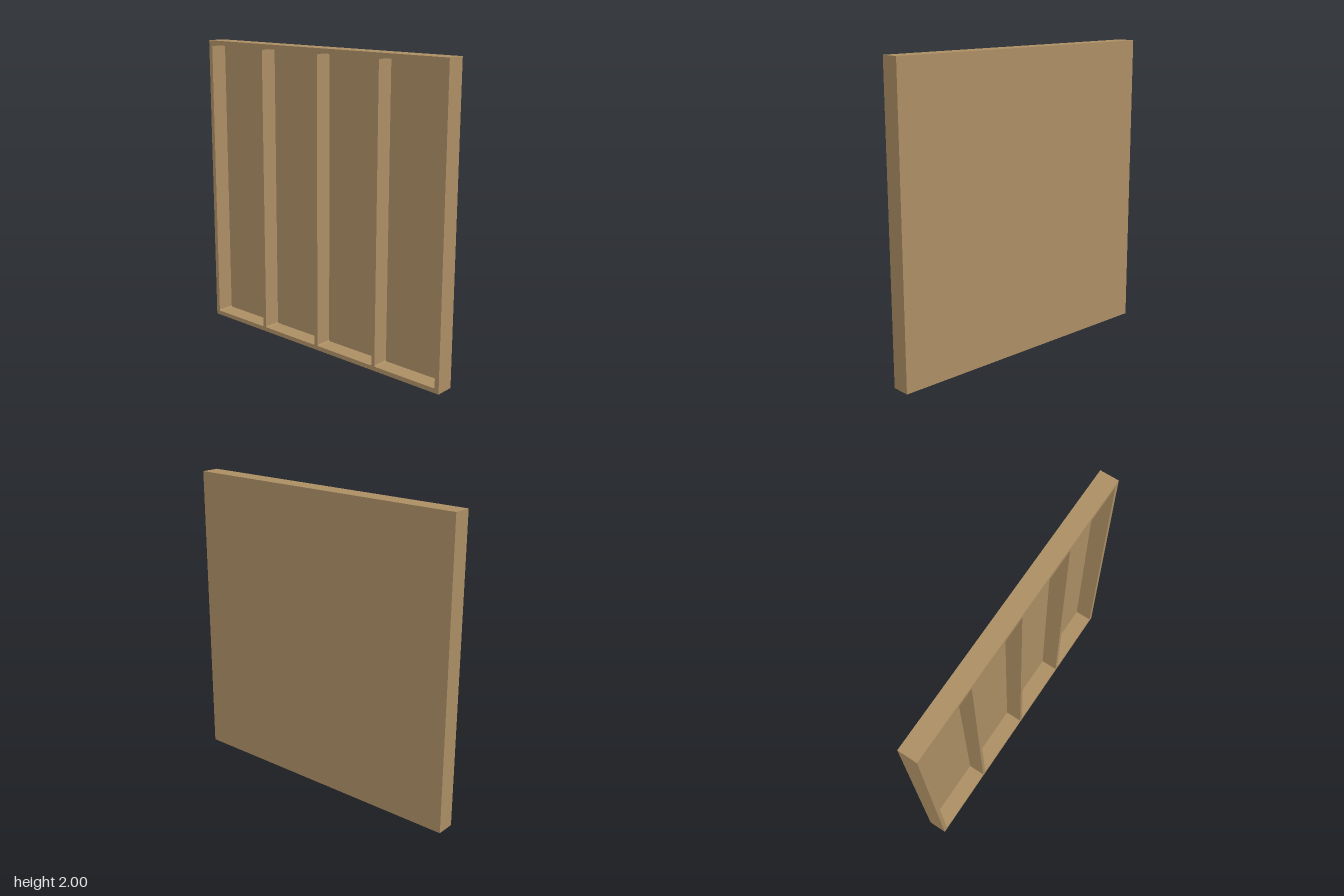
import * as THREE from 'three';

const SIZE = 2, DEPTH = 0.125, RIM = 0.03, DIVIDER = 0.025, BAYS = 4, BACK = 0.008;

// Rounded rectangular opening
function opening(x0, y0, x1, y1, r) {
  const p = new THREE.Path();
  p.moveTo(x0 + r, y0);
  p.lineTo(x1 - r, y0);
  p.absarc(x1 - r, y0 + r, r, -Math.PI / 2, 0, false);
  p.lineTo(x1, y1 - r);
  p.absarc(x1 - r, y1 - r, r, 0, Math.PI / 2, false);
  p.lineTo(x0 + r, y1);
  p.absarc(x0 + r, y1 - r, r, Math.PI / 2, Math.PI, false);
  p.lineTo(x0, y0 + r);
  p.absarc(x0 + r, y0 + r, r, Math.PI, Math.PI * 1.5, false);
  return p;
}

function square() {
  const h = SIZE / 2;
  return new THREE.Shape([
    new THREE.Vector2(-h, 0), new THREE.Vector2(h, 0),
    new THREE.Vector2(h, SIZE), new THREE.Vector2(-h, SIZE),
  ]);
}

export function createModel() {
  const group = new THREE.Group();
  group.name = 'panelledFrame';
  const wood = new THREE.MeshStandardMaterial({ color: 0xac8e64 });
  wood.name = 'lightWood';

  // Outer frame and upright dividers, cut from one board
  const shape = square();
  const bay = (SIZE - 2 * RIM - (BAYS - 1) * DIVIDER) / BAYS;
  for (let i = 0; i < BAYS; i++) {
    const x = -SIZE / 2 + RIM + i * (bay + DIVIDER);
    shape.holes.push(opening(x, RIM, x + bay, SIZE - RIM, 0.01));
  }
  const frame = new THREE.Mesh(
    new THREE.ExtrudeGeometry(shape, { depth: DEPTH - BACK, bevelEnabled: false, curveSegments: 6 }), wood);
  frame.name = 'frameWithDividers';
  frame.position.z = -DEPTH / 2 + BACK;
  group.add(frame);

  // Thin closed back
  const back = new THREE.Mesh(new THREE.BoxGeometry(SIZE, SIZE, BACK), wood);
  back.name = 'backPanel';
  back.position.set(0, SIZE / 2, -DEPTH / 2 + BACK / 2);
  group.add(back);

  return group;
}
